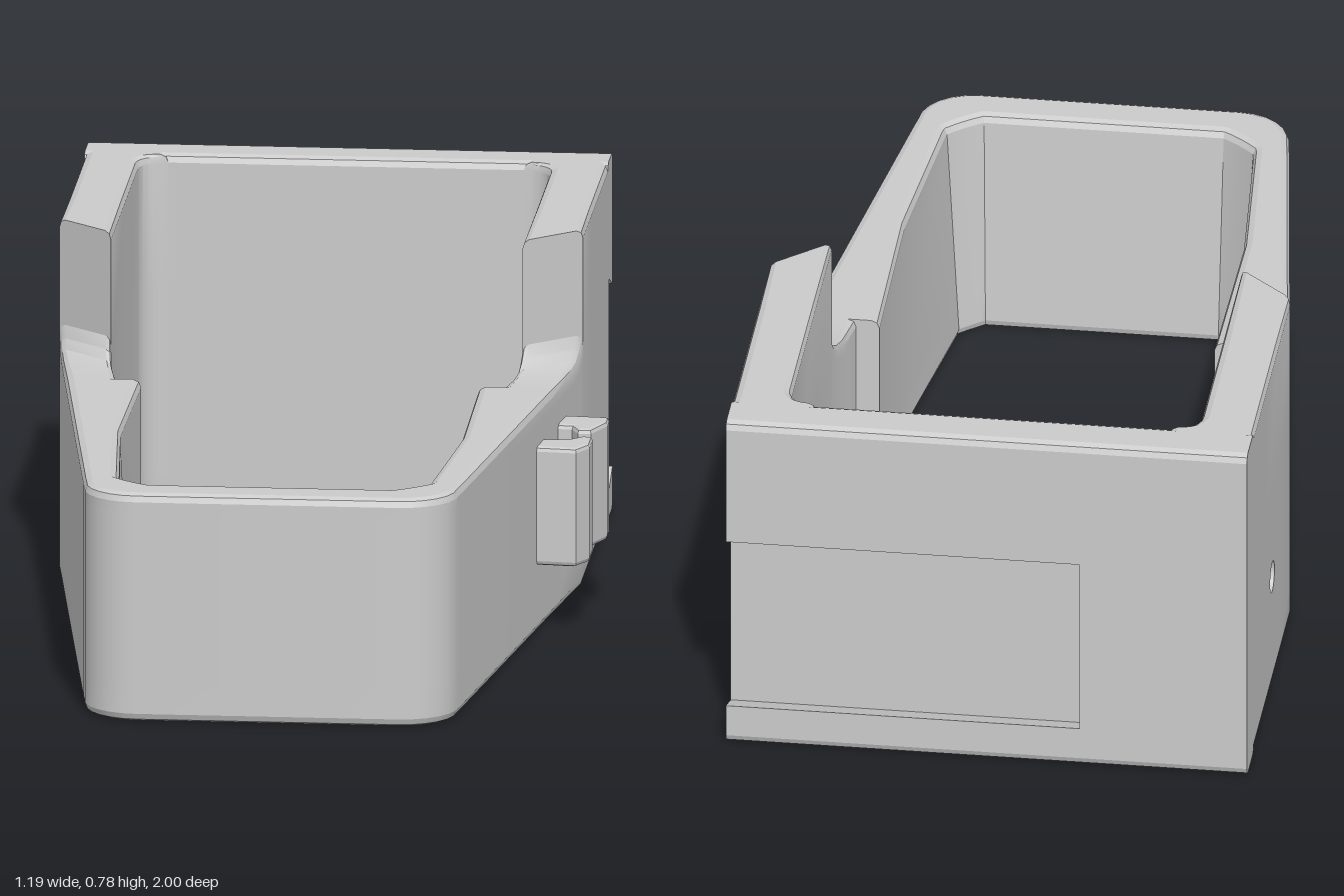
import * as THREE from 'three';
import { toCreasedNormals } from 'three/addons/utils/BufferGeometryUtils.js';

const CX = -0.04;             // centre line of the frame
const LO = 0.09, HI = 0.49;   // slot and side panel levels
const R = 0.018;              // edge rounding
const material = new THREE.MeshStandardMaterial({ color: 0xcccccc });

// Wall cross-section as [distance inward from outer face, y]
function section(w, h, slot, slant) {
  const hi = Math.min(HI, h - 0.04), k = slot ? 0.03 : 0, q = 0.3 * R;
  const inner = (y) => w - slant * y / h;
  return [
    [R, 0], [q, q], [0, R], [0, LO], [slot, LO - k], [slot, hi + k], [0, hi],
    [0, h - R], [q, h - q], [R, h],
    [inner(h) - R, h], [inner(h) - q, h - q], [inner(h - R), h - R],
    [inner(hi), hi], [inner(LO), LO], [inner(R), R], [w - q, q], [w - R, 0],
  ];
}

// Sweeps the section along stations; a station marked open leaves gaps for a panel
function sweepWall(stations) {
  const flat = stations.map((s) => section(
    Math.hypot(s.out[0] - s.in[0], s.out[1] - s.in[1]), s.h, s.slot || 0, s.slant || 0));
  const rings = stations.map((s, i) => {
    const o = new THREE.Vector3(s.out[0], 0, s.out[1]);
    const u = new THREE.Vector3(s.in[0], 0, s.in[1]).sub(o).normalize();
    return flat[i].map(([a, y]) => o.clone().addScaledVector(u, a).setY(y));
  });
  const pos = [];
  const tri = (...pts) => pts.forEach((p) => pos.push(p.x, p.y, p.z));
  const n = rings[0].length;
  for (let i = 0; i < rings.length - 1; i++) {
    for (let j = 0; j < n; j++) {
      if (stations[i].open && [3, 4, 5, 13].includes(j)) continue;
      const a = rings[i][j], b = rings[i][(j + 1) % n];
      const c = rings[i + 1][j], d = rings[i + 1][(j + 1) % n];
      tri(a, b, c);
      tri(b, d, c);
    }
  }
  // end caps
  [0, rings.length - 1].forEach((e) => {
    const pts = flat[e].map(([a, y]) => new THREE.Vector2(a, y));
    for (const [a, b, c] of THREE.ShapeUtils.triangulateShape(pts, [])) {
      const ccw = THREE.ShapeUtils.area([pts[a], pts[b], pts[c]]) > 0;
      const r = rings[e];
      if (ccw === (e === 0)) tri(r[a], r[b], r[c]);
      else tri(r[a], r[c], r[b]);
    }
  });
  const geo = new THREE.BufferGeometry();
  geo.setAttribute('position', new THREE.Float32BufferAttribute(pos, 3));
  return toCreasedNormals(geo, 0.35);
}

function frameStations() {
  const half = [];
  const add = (ox, oz, ix, iz, h, extra = {}) =>
    half.push({ out: [ox, oz], in: [ix, iz], h, ...extra });
  // tall rear side with rounded inner corner
  add(0.56, -0.915, 0.38, -0.915, 0.78);
  for (let i = 0; i <= 6; i++) {
    const t = (i / 6) * Math.PI / 2;
    const z = -0.83 - 0.06 * Math.cos(t);
    add(0.56, z, 0.38 + 0.06 * Math.sin(t), z, 0.78);
  }
  add(0.56, -0.68, 0.44, -0.68, 0.78, { open: true });
  add(0.56, -0.5, 0.44, -0.5, 0.78);
  // slanted end and fillet down to the low front
  add(0.56, -0.3, 0.44, -0.19, 0.78);
  add(0.56, -0.3, 0.44, -0.19, 0.55);
  add(0.557, -0.28, 0.437, -0.17, 0.525);
  add(0.553, -0.25, 0.433, -0.14, 0.508);
  add(0.546, -0.2, 0.425, -0.1, 0.5);
  // inner step, then tapering side
  add(0.522, -0.02, 0.41, -0.02, 0.5);
  add(0.522, -0.02, 0.36, -0.02, 0.5);
  add(0.463, 0.42, 0.355, 0.42, 0.5, { slant: 0.01 });
  add(0.405, 0.85, 0.3, 0.81, 0.5, { slant: 0.035 });
  // front corner
  for (let i = 0; i <= 6; i++) {
    const t = (i / 6) * Math.PI / 2;
    add(0.28 + 0.12 * Math.cos(t), 0.88 + 0.12 * Math.sin(t),
      0.3 - 0.05 * i / 6, 0.82 + 0.045 * i / 6, 0.5, { slant: 0.035 });
  }
  const flip = ([x, z], s) => [CX + s * x, z];
  const side = (s) => half.map((p) => ({ ...p, out: flip(p.out, s), in: flip(p.in, s) }));
  const left = side(1), right = side(-1).reverse();
  // move the open mark to the first station of the mirrored span
  const k = right.findIndex((p) => p.open);
  right[k].open = false;
  right[k - 1].open = true;
  return [...left, ...right];
}

export function createModel() {
  const group = new THREE.Group();
  const addMesh = (name, geo) => {
    const m = new THREE.Mesh(geo, material);
    m.name = name;
    group.add(m);
    return m;
  };

  addMesh('sideAndFrontWall', sweepWall(frameStations()));

  // back wall with a dovetail slot open at one side
  const back = [[-0.6, 0], [-0.24, 0], [-0.24, 0.08], [0.52, 0.08]];
  addMesh('backWall', sweepWall(back.map(([x, slot]) =>
    ({ out: [x, -1], in: [x, -0.89], h: 0.78, slot }))));

  // drilled panels filling the gaps in the side walls
  const panel = new THREE.Shape([[0.5, LO], [0.68, LO], [0.68, HI], [0.5, HI]]
    .map(([x, y]) => new THREE.Vector2(x, y)));
  panel.holes.push(new THREE.Path().absarc(0.59, 0.26, 0.035, 0, Math.PI * 2, true));
  const panelGeo = new THREE.ExtrudeGeometry(panel,
    { depth: 0.12, bevelEnabled: false, curveSegments: 20 }).rotateY(Math.PI / 2);
  addMesh('leftDrilledPanel', panelGeo).position.x = CX + 0.44;
  addMesh('rightDrilledPanel', panelGeo).position.x = CX - 0.56;

  // pair of hooked clips, outlines as [x, z]
  const clips = {
    rearClip: [[0.47, -0.145], [0.58, -0.135], [0.58, -0.1], [0.555, -0.035],
      [0.54, -0.035], [0.525, -0.07], [0.47, -0.075]],
    frontClip: [[0.45, 0.13], [0.54, 0.14], [0.56, 0.1], [0.56, 0.04],
      [0.55, 0.04], [0.52, 0.07], [0.45, 0.075]],
  };
  for (const [name, pts] of Object.entries(clips)) {
    const shape = new THREE.Shape(pts.map(([x, z]) => new THREE.Vector2(x, -z)));
    const geo = new THREE.ExtrudeGeometry(shape, {
      depth: 0.24, bevelSize: 0.01, bevelThickness: 0.01, bevelSegments: 2,
    }).rotateX(-Math.PI / 2);
    addMesh(name, geo).position.y = 0.16;
  }
  return group;
}
